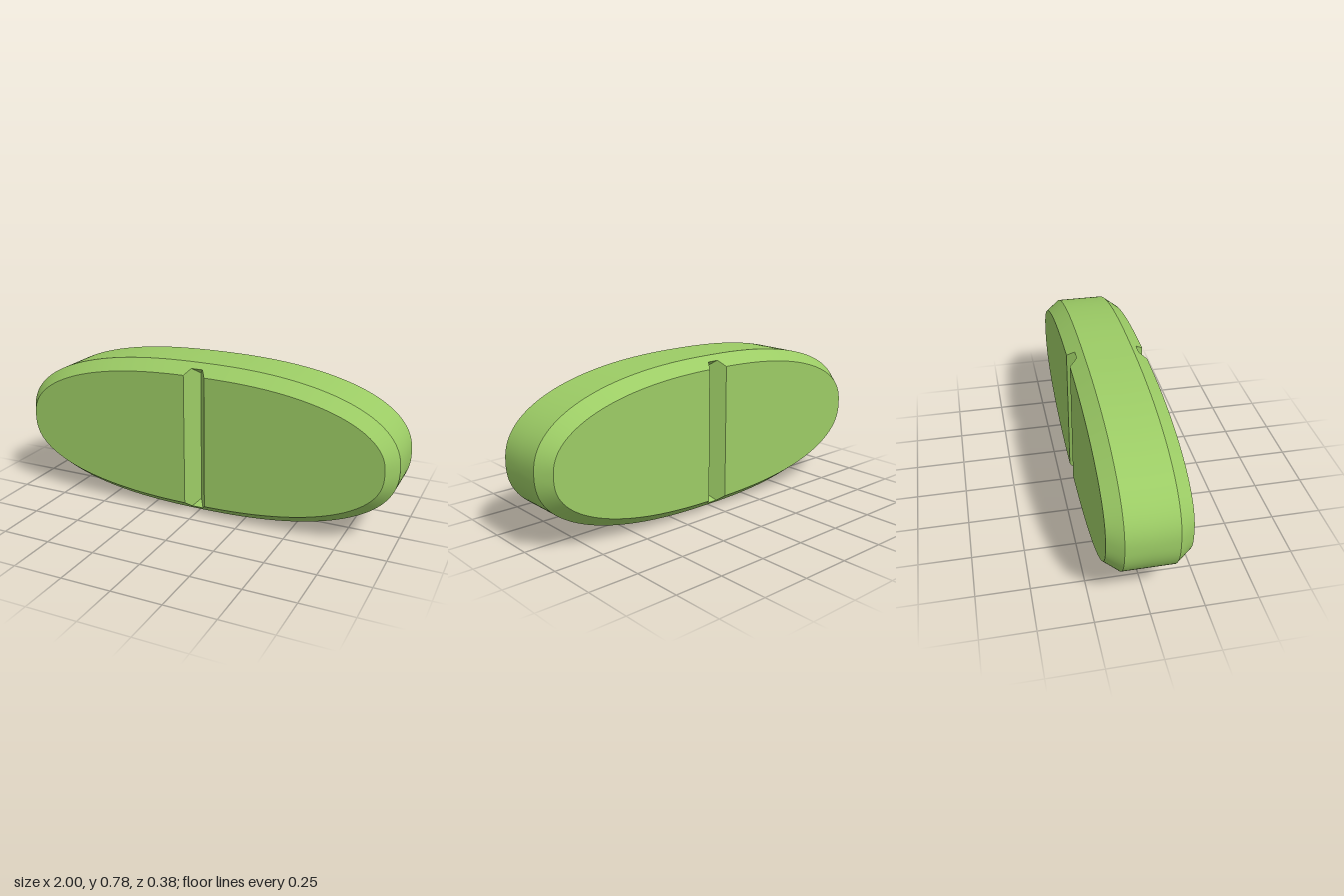
import * as THREE from 'three';
import { toCreasedNormals } from 'three/addons/utils/BufferGeometryUtils.js';

const A = 1, B = 0.39, POWER = 2.35;        // outline half width, half height, roundness
const Z_RIM = 0.12, Z_FACE = 0.19;          // half depth of the straight band and of the flat face
const INSET = 0.053;                        // bevel width
const GROOVE = 0.055, GROOVE_END = 0.03;    // groove half width on the face and at its ends
const STEPS = 48;

// Point on the rounded outline, and the same point moved inward along its normal
function outline(t) {
  const x = A * Math.pow(Math.max(Math.cos(t), 0), 2 / POWER);
  const y = B * Math.pow(Math.sin(t), 2 / POWER);
  const n = new THREE.Vector2(
    Math.pow(x, POWER - 1) / Math.pow(A, POWER),
    Math.pow(y, POWER - 1) / Math.pow(B, POWER)
  ).normalize();
  return { outer: [x, y], inner: [x - n.x * INSET, y - n.y * INSET] };
}

// One eighth of the body (x, y, z all positive) as a list of triangles
function buildOctant() {
  const tris = [];
  const polygon = (...p) => {
    for (let i = 1; i < p.length - 1; i++) tris.push([p[0], p[i], p[i + 1]]);
  };

  const tEnd = Math.acos(Math.pow(GROOVE / A, POWER / 2));
  const mid = [], rim = [], face = [];
  for (let i = 0; i <= STEPS; i++) {
    const { outer, inner } = outline((tEnd * i) / STEPS);
    mid.push([...outer, 0]);
    rim.push([...outer, Z_RIM]);
    face.push([...inner, Z_FACE]);
  }
  face[STEPS][0] = GROOVE;

  // flat face, bevel and side band
  const faceCentre = [GROOVE, 0, Z_FACE];
  for (let i = 0; i < STEPS; i++) {
    polygon(faceCentre, face[i], face[i + 1]);
    polygon(rim[i], rim[i + 1], face[i + 1], face[i]);
    polygon(mid[i], mid[i + 1], rim[i + 1], rim[i]);
  }

  // V groove with a sloped end that cuts into the bevel
  const corner = face[STEPS];
  const rise = 0.028;
  const yEnd = corner[1] + rise;
  const zEnd = Z_FACE - (Z_FACE - Z_RIM) * rise / INSET;
  const zDeep = zEnd - GROOVE_END * (Z_FACE - zEnd) / (GROOVE - GROOVE_END);
  const end = [GROOVE_END, yEnd, zEnd], endMid = [0, yEnd, zEnd];
  const deep = [0, yEnd - GROOVE_END, zDeep], deepCentre = [0, 0, zDeep];
  const rimTop = [0, B, Z_RIM], midTop = [0, B, 0];
  polygon(faceCentre, corner, end, deep, deepCentre);
  polygon(end, endMid, deep);
  polygon(rim[STEPS], rimTop, endMid, end, corner);
  polygon(mid[STEPS], midTop, rimTop, rim[STEPS]);
  return tris;
}

export function createModel() {
  const group = new THREE.Group();
  group.name = 'scoredTablet';

  // mirror the octant into all eight corners, flipping the winding where needed
  const octant = buildOctant();
  const positions = [];
  for (const sx of [1, -1]) for (const sy of [1, -1]) for (const sz of [1, -1]) {
    for (const [a, b, c] of octant) {
      const order = sx * sy * sz > 0 ? [a, b, c] : [a, c, b];
      for (const p of order) positions.push(p[0] * sx, p[1] * sy, p[2] * sz);
    }
  }
  const geometry = new THREE.BufferGeometry();
  geometry.setAttribute('position', new THREE.Float32BufferAttribute(positions, 3));

  const tablet = new THREE.Mesh(
    toCreasedNormals(geometry, 0.4),
    new THREE.MeshStandardMaterial({ color: 0x9ccc65 })
  );
  tablet.name = 'tabletBody';
  tablet.position.y = B;
  group.add(tablet);
  return group;
}
